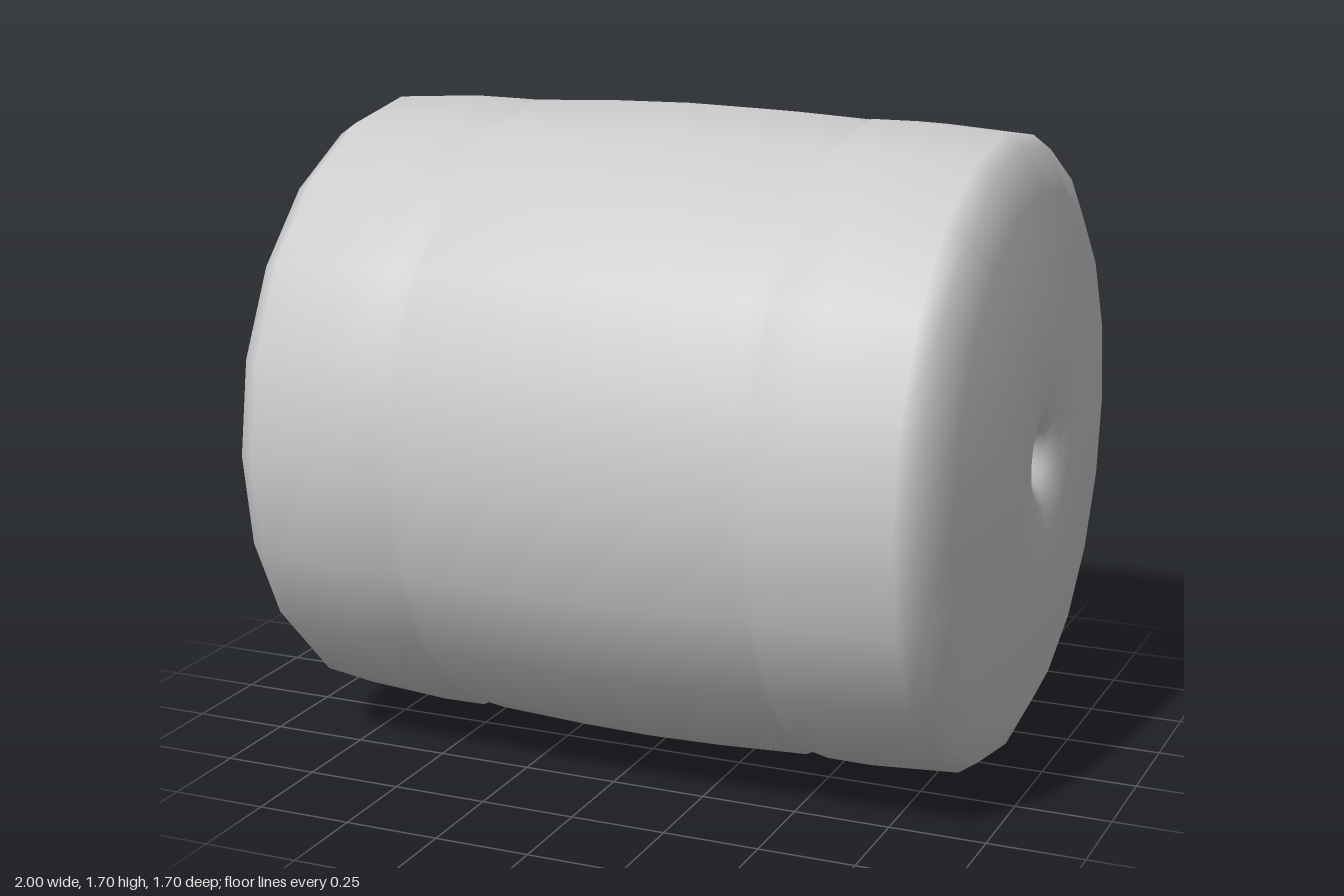
import * as THREE from 'three';

const SIDES = 20;
const CENTER_Y = 0.848;

// Half profile as [distance along the axis, radius], from the middle to the end dimple
const half = [
  [0, 0.848], [0.2, 0.844], [0.44, 0.833], [0.47, 0.818], [0.5, 0.834], [0.62, 0.835],
  [0.85, 0.82], [0.9, 0.785], [0.95, 0.68], [1, 0.32],
  [0.99, 0.2], [0.98, 0.13], [0.955, 0.08], [0.92, 0.055],
];

export function createModel() {
  const group = new THREE.Group();
  group.name = 'barrelCushion';
  const material = new THREE.MeshStandardMaterial({ color: 0xcccccc });

  // Body: mirrored profile turned around the x axis
  const mirrored = half.slice(1).reverse().map(([x, r]) => [-x, r]);
  const profile = [...mirrored, ...half].map(([x, r]) => new THREE.Vector2(r, x));
  const bodyGeometry = new THREE.LatheGeometry(profile, SIDES);
  bodyGeometry.rotateZ(-Math.PI / 2);
  const body = new THREE.Mesh(bodyGeometry, material);
  body.name = 'body';
  body.position.y = CENTER_Y;
  group.add(body);

  // Small flat button at the bottom of each dimple
  const [buttonX, buttonRadius] = half[half.length - 1];
  for (const side of [1, -1]) {
    const button = new THREE.Mesh(new THREE.CircleGeometry(buttonRadius, SIDES), material);
    button.name = side > 0 ? 'leftButton' : 'rightButton';
    button.rotation.y = side * Math.PI / 2;
    button.position.set(side * buttonX, CENTER_Y, 0);
    group.add(button);
  }
  return group;
}
